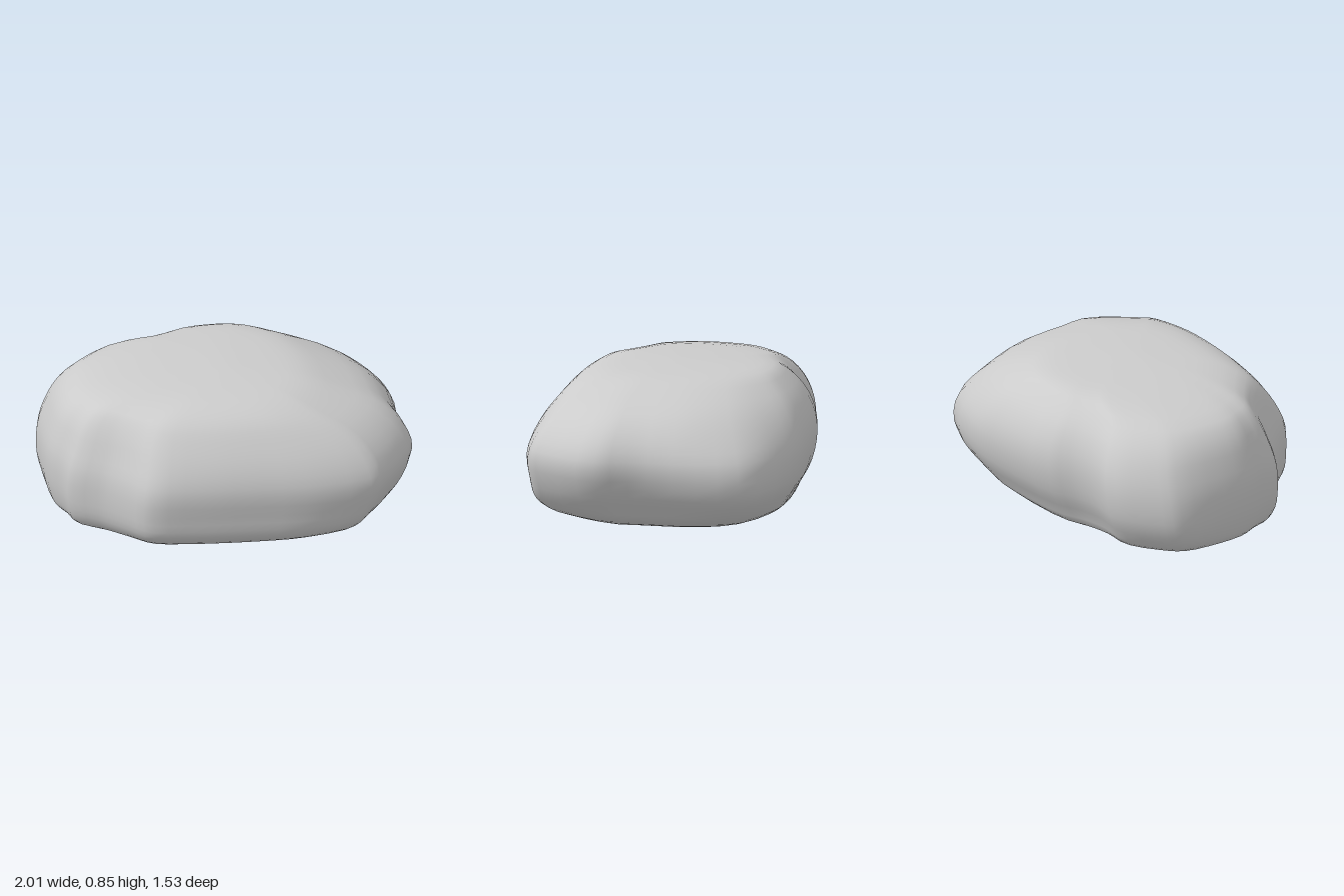
import * as THREE from 'three';
import { mergeVertices } from 'three/addons/utils/BufferGeometryUtils.js';

// Widest outline of the boulder seen from above, as x, z
const OUTLINE = [
  [0.98, -0.28], [0.88, -0.57], [0.49, -0.735], [0.28, -0.76], [-0.2, -0.735], [-0.35, -0.66],
  [-0.5, -0.625], [-0.69, -0.635], [-0.88, -0.49], [-0.97, -0.38], [-1, -0.13], [-0.99, 0.09],
  [-0.94, 0.21], [-0.91, 0.33], [-0.76, 0.43], [-0.63, 0.56], [-0.52, 0.68], [-0.3, 0.715],
  [0.1, 0.745], [0.42, 0.757], [0.74, 0.7], [0.81, 0.62], [1, 0.32], [0.965, 0.08],
];

// Levels from bottom to top: y, reach to -x, +x, -z, +z, and corner rounding
const LEVELS = [
  [0.008, 0, 0, 0, 0, 1],
  [0.012, 0.4, 0.3, 0.3, 0.28, 0.7],
  [0.02, 0.65, 0.48, 0.42, 0.42, 0.6],
  [0.05, 0.85, 0.68, 0.53, 0.56, 0.4],
  [0.1, 0.95, 0.81, 0.63, 0.67, 0.2],
  [0.17, 0.98, 0.87, 0.67, 0.735, 0.05],
  [0.28, 1, 0.95, 0.73, 0.75, 0],
  [0.43, 1, 1, 0.765, 0.76, 0],
  [0.56, 0.965, 0.96, 0.755, 0.715, 0.1],
  [0.68, 0.91, 0.84, 0.7, 0.63, 0.25],
  [0.77, 0.81, 0.62, 0.615, 0.54, 0.4],
  [0.825, 0.54, 0.44, 0.54, 0.41, 0.55],
  [0.845, 0.27, 0.24, 0.36, 0.22, 0.8],
  [0.855, 0, 0, 0, 0, 1],
];

// Swellings (+) and worn corners (-): angle, angular width, amount, y, height
const BUMPS = [
  [2.4, 0.4, -0.05, 0.6, 0.22], // worn front right corner
  [-0.7, 0.45, -0.1, 0.68, 0.2], // worn upper back left corner
  [-0.7, 0.45, 0.06, 0.2, 0.15], // foot of the back left corner
  [-2.5, 0.35, 0.03, 0.2, 0.15], // foot of the back right corner
];

const bell = (v, centre, width) => Math.exp(-(((v - centre) / width) ** 2));

// One point of the surface: the outline scaled to a level, eased towards an ellipse
function surfacePoint(p, [y, left, right, back, front, round]) {
  const ex = p.x, ez = p.y / 0.76;
  const angle = Math.atan2(ez, ex);
  let k = 1 + round * (1 / Math.hypot(ex, ez) - 1);
  for (const [a, width, amount, height, spread] of BUMPS) {
    k *= 1 + amount * bell(angle, a, width) * bell(y, height, spread);
  }
  return new THREE.Vector3(
    ex * k * (ex > 0 ? right : left),
    y,
    ez * k * (ez > 0 ? front : back),
  );
}

export function createModel() {
  const around = 64, up = 34;
  const outline = new THREE.CatmullRomCurve3(
    OUTLINE.map(([x, z]) => new THREE.Vector3(x, z, 0)), true);

  // Smooth vertical ribs from the bottom pole to the top pole
  const positions = [], index = [];
  for (let j = 0; j < around; j++) {
    const p = outline.getPoint(j / around);
    const rib = new THREE.CatmullRomCurve3(LEVELS.map((level) => surfacePoint(p, level)));
    for (const q of rib.getPoints(up)) positions.push(q.x, q.y, q.z);
  }
  for (let j = 0; j < around; j++) {
    const a = j * (up + 1), b = ((j + 1) % around) * (up + 1);
    for (let i = 0; i < up; i++) {
      if (i > 0) index.push(a + i, b + i, b + i + 1);
      if (i < up - 1) index.push(a + i, b + i + 1, a + i + 1);
    }
  }

  let geometry = new THREE.BufferGeometry();
  geometry.setAttribute('position', new THREE.Float32BufferAttribute(positions, 3));
  geometry.setIndex(index);
  geometry = mergeVertices(geometry, 1e-5);
  geometry.computeVertexNormals();

  const boulder = new THREE.Mesh(geometry, new THREE.MeshStandardMaterial({ color: 0xcccccc }));
  boulder.name = 'boulder';
  const group = new THREE.Group();
  group.name = 'rock';
  group.add(boulder);
  return group;
}
